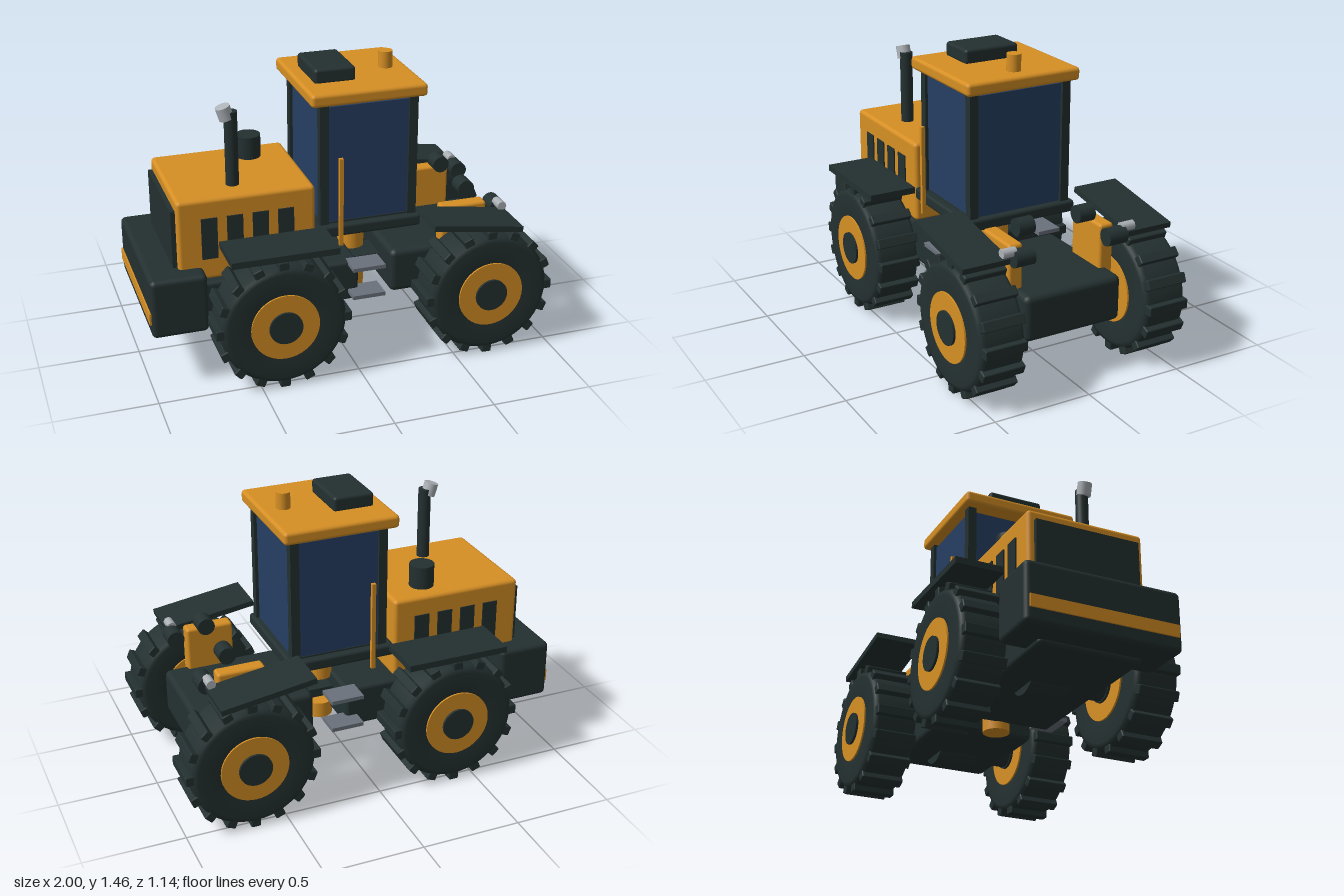
import * as THREE from 'three';
import { RoundedBoxGeometry } from 'three/addons/geometries/RoundedBoxGeometry.js';

function material(name, color) {
  const m = new THREE.MeshStandardMaterial({ color });
  m.name = name;
  return m;
}

export function createModel() {
  const orange = material('orange paint', 0xd68f24);
  const dark = material('dark rubber and metal', 0x243030);
  const glass = material('blue glass', 0x263f63);
  const silver = material('silver', 0xaeb3b8);
  const steel = material('step steel', 0x6b717c);

  const model = new THREE.Group();
  model.name = 'tractor';

  function add(name, geometry, mat, x, y, z, parent = model) {
    const mesh = new THREE.Mesh(geometry, mat);
    mesh.name = name;
    mesh.position.set(x, y, z);
    parent.add(mesh);
    return mesh;
  }

  // Box from its extents on each axis; r > 0 rounds the edges
  function box(name, mat, [x0, x1], [y0, y1], [z0, z1], r = 0) {
    const size = [x1 - x0, y1 - y0, z1 - z0];
    const geometry = r ? new RoundedBoxGeometry(...size, 2, r) : new THREE.BoxGeometry(...size);
    return add(name, geometry, mat, (x0 + x1) / 2, (y0 + y1) / 2, (z0 + z1) / 2);
  }

  // The same box on both sides of the machine
  function boxPair(name, mat, xs, ys, [z0, z1], r = 0) {
    return [box(name + 'Left', mat, xs, ys, [z0, z1], r), box(name + 'Right', mat, xs, ys, [-z1, -z0], r)];
  }

  // Cylinder along y, or along z when lying
  function cylinder(name, mat, r, length, x, y, z, lying = false, parent = model, sides = 32) {
    const geometry = new THREE.CylinderGeometry(r, r, length, sides);
    if (lying) geometry.rotateX(Math.PI / 2);
    return add(name, geometry, mat, x, y, z, parent);
  }

  // Chassis halves, joined by a pivot
  box('frontChassis', dark, [-0.855, 0.08], [0.257, 0.47], [-0.26, 0.26], 0.02);
  box('rearChassis', dark, [0.25, 0.86], [0.26, 0.49], [-0.26, 0.26], 0.03);
  box('pivotBar', dark, [0.05, 0.28], [0.355, 0.4], [-0.08, 0.08]);
  cylinder('upperPivotPin', orange, 0.067, 0.11, 0.123, 0.495, 0);
  cylinder('lowerPivotPin', orange, 0.067, 0.08, 0.123, 0.26, 0);

  // Nose weight with stripe
  box('noseWeight', dark, [-0.99, -0.715], [0.28, 0.58], [-0.39, 0.39], 0.025);
  box('noseStripe', orange, [-0.998, -0.989], [0.35, 0.41], [-0.37, 0.37]);

  // Engine hood, grille and side vents
  box('hood', orange, [-0.833, -0.158], [0.51, 0.925], [-0.298, 0.298], 0.02);
  box('grille', dark, [-0.855, -0.82], [0.4, 0.87], [-0.265, 0.265]);
  for (let i = 0; i < 4; i++) {
    const x = -0.68 + i * 0.125;
    boxPair('sideVent', dark, [x - 0.039, x + 0.039], [0.62, 0.83], [0.296, 0.304]);
  }

  // Exhaust and air intake
  cylinder('exhaustPipe', dark, 0.032, 0.39, -0.527, 1.1, 0.155);
  const tip = cylinder('exhaustTip', silver, 0.036, 0.065, -0.555, 1.29, 0.155);
  tip.rotation.z = 0.3;
  cylinder('airIntake', dark, 0.062, 0.14, -0.363, 0.97, -0.165);

  // Cab
  box('cabFloor', dark, [-0.16, 0.385], [0.638, 0.698], [-0.302, 0.302], 0.015);
  box('cabGlass', glass, [-0.11, 0.352], [0.69, 1.297], [-0.26, 0.26]);
  for (const x of [-0.104, 0.346]) {
    boxPair('cabPost', dark, [x - 0.022, x + 0.022], [0.69, 1.33], [0.23, 0.274]);
  }
  boxPair('cabSill', dark, [-0.12, 0.36], [0.69, 0.706], [0.25, 0.265]);
  box('cabRoof', orange, [-0.175, 0.405], [1.313, 1.377], [-0.305, 0.305], 0.018);
  box('roofUnit', dark, [-0.11, 0.095], [1.37, 1.445], [-0.145, 0.145], 0.015);
  cylinder('beacon', orange, 0.035, 0.09, 0.297, 1.415, 0);
  boxPair('handrail', orange, [-0.045, -0.025], [0.602, 1.055], [0.308, 0.327]);

  // Entry steps
  for (const y of [0.462, 0.31]) {
    boxPair('step', steel, [0.022, 0.19], [y - 0.01, y + 0.01], [0.22, 0.345]);
  }

  // Fenders, the rear pair sloping backwards
  boxPair('frontFender', dark, [-0.64, -0.12], [0.681, 0.713], [0.32, 0.562]);
  for (const fender of boxPair('rearFender', dark, [0.35, 0.82], [0.69, 0.718], [0.32, 0.562])) {
    fender.rotation.z = -0.15;
  }

  // Rear lift brackets, rollers and lamps
  boxPair('liftBracket', orange, [0.505, 0.745], [0.415, 0.71], [0.21, 0.285], 0.015);
  for (const s of [-1, 1]) {
    cylinder('upperRoller', dark, 0.043, 0.085, 0.667, 0.755, s * 0.164, true);
    cylinder('lowerRoller', dark, 0.043, 0.1, 0.803, 0.672, s * 0.25, true);
    cylinder('rearLamp', silver, 0.024, 0.07, 0.798, 0.705, s * 0.32, true, model, 8);
  }

  // Tyre section revolved around the wheel axis
  const tyreProfile = [[0.15, -0.1], [0.17, -0.114], [0.275, -0.114], [0.295, -0.108], [0.307, -0.09],
    [0.307, 0.09], [0.295, 0.108], [0.275, 0.114], [0.17, 0.114], [0.15, 0.1]];
  const tyre = new THREE.LatheGeometry(tyreProfile.map(([r, w]) => new THREE.Vector2(r, w)), 48);
  tyre.rotateX(Math.PI / 2);
  const lug = new RoundedBoxGeometry(0.045, 0.05, 0.215, 1, 0.006);

  // Axles and wheels
  for (const x of [-0.388, 0.665]) {
    cylinder('axle', dark, 0.075, 0.72, x, 0.335, 0, true);
    cylinder('differential', dark, 0.116, 0.21, x, 0.335, 0, true);
    for (const s of [-1, 1]) {
      const wheel = new THREE.Group();
      wheel.name = (x < 0 ? 'front' : 'rear') + 'Wheel' + (s > 0 ? 'Left' : 'Right');
      wheel.position.set(x, 0.335, s * 0.439);
      model.add(wheel);
      add('tyre', tyre, dark, 0, 0, 0, wheel);
      cylinder('rim', orange, 0.168, 0.242, 0, 0, 0, true, wheel, 40);
      cylinder('hub', dark, 0.082, 0.266, 0, 0, 0, true, wheel);
      for (let i = 0; i < 16; i++) {
        const a = (i / 16) * Math.PI * 2;
        add('treadLug', lug, dark, Math.cos(a) * 0.312, Math.sin(a) * 0.312, 0, wheel).rotation.z = a;
      }
    }
  }
  return model;
}
